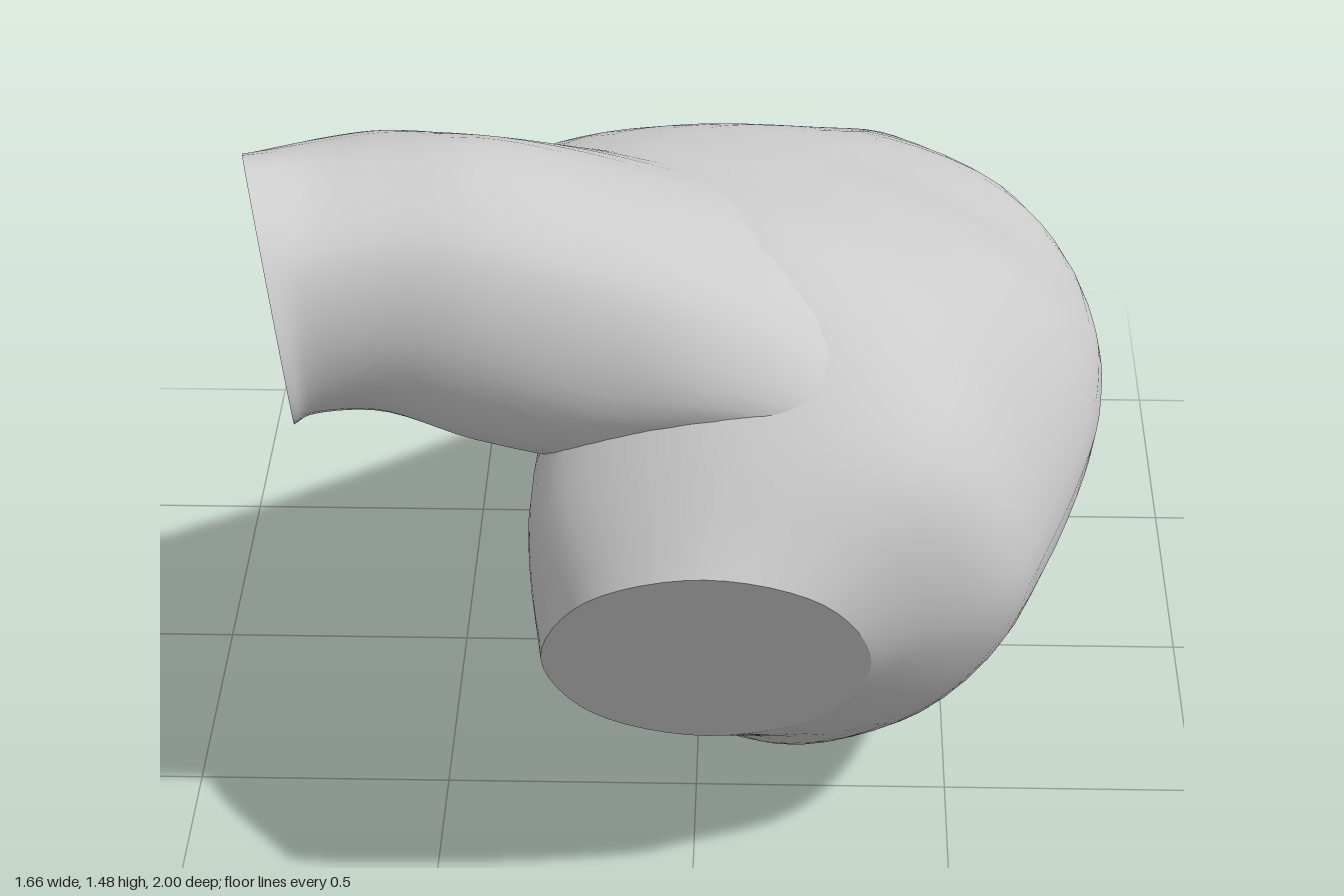
import * as THREE from 'three';

const AROUND = 48; // vertices round each ring
const ALONG = 40; // rows along each loft

// Smooth skin through closed rings of control points
function skin(rings) {
  const closed = rings.map((r) => new THREE.CatmullRomCurve3(r, true));
  const lines = [];
  for (let j = 0; j < AROUND; j++) {
    const pts = closed.map((c) => c.getPoint(j / AROUND));
    lines.push(new THREE.CatmullRomCurve3(pts).getPoints(ALONG));
  }
  const pos = [], index = [];
  for (let i = 0; i <= ALONG; i++) {
    for (let j = 0; j < AROUND; j++) pos.push(...lines[j][i].toArray());
  }
  for (let i = 0; i < ALONG; i++) {
    for (let j = 0; j < AROUND; j++) {
      const k = (j + 1) % AROUND;
      const a = i * AROUND + j, b = i * AROUND + k;
      index.push(a, a + AROUND, b, b, a + AROUND, b + AROUND);
    }
  }
  return geometry(pos, index);
}

// Flat fan closing one ring
function cap(ring, atEnd) {
  const pts = new THREE.CatmullRomCurve3(ring, true).getPoints(AROUND).slice(0, AROUND);
  const mid = pts.reduce((s, p) => s.add(p), new THREE.Vector3()).divideScalar(AROUND);
  const pos = [mid, ...pts].flatMap((p) => p.toArray());
  const index = [];
  for (let j = 0; j < AROUND; j++) {
    const a = 1 + j, b = 1 + ((j + 1) % AROUND);
    index.push(0, atEnd ? b : a, atEnd ? a : b);
  }
  return geometry(pos, index);
}

function geometry(pos, index) {
  const g = new THREE.BufferGeometry();
  g.setAttribute('position', new THREE.Float32BufferAttribute(pos, 3));
  g.setIndex(index);
  g.computeVertexNormals();
  return g;
}

// Eight points of an ellipse; f turns (cos, sin) into a point
function ellipse(start, step, f) {
  return Array.from({ length: 8 }, (_, k) => {
    const a = THREE.MathUtils.degToRad(start + step * k);
    return f(Math.cos(a), Math.sin(a));
  });
}

export function createModel() {
  const group = new THREE.Group();
  const material = new THREE.MeshStandardMaterial({ color: 0xcccccc, side: THREE.DoubleSide });
  const add = (name, geo) => {
    const mesh = new THREE.Mesh(geo, material);
    mesh.name = name;
    group.add(mesh);
  };

  // Chamber: [z, tilt, ring of x,y from the ridge clockwise], apex to front
  const chamberSections = [
    [-0.94, 0, [[0.35, 0.68], [0.4, 0.705], [0.45, 0.67], [0.475, 0.59], [0.46, 0.52], [0.41, 0.49], [0.37, 0.52], [0.35, 0.6]]],
    [-0.8, 0, [[0.28, 0.77], [0.36, 0.805], [0.5, 0.73], [0.565, 0.59], [0.545, 0.45], [0.43, 0.38], [0.34, 0.44], [0.29, 0.6]]],
    [-0.5, 0, [[0.11, 0.94], [0.25, 0.97], [0.63, 0.83], [0.775, 0.6], [0.68, 0.37], [0.42, 0.2], [0.28, 0.33], [0.18, 0.64]]],
    [-0.2, 0, [[-0.13, 1.09], [0.05, 1.13], [0.63, 0.89], [0.825, 0.61], [0.68, 0.31], [0.32, 0.06], [0.15, 0.22], [0, 0.66]]],
    [0.0, 0, [[-0.36, 1.14], [-0.05, 1.21], [0.62, 0.95], [0.815, 0.6], [0.625, 0.25], [0.26, 0.015], [0.1, 0.18], [-0.08, 0.66]]],
    [0.15, 0, [[-0.44, 1.13], [-0.1, 1.25], [0.59, 0.99], [0.79, 0.6], [0.57, 0.22], [0.23, 0], [0.06, 0.17], [-0.14, 0.67]]],
    [0.5, 0, [[-0.26, 1.05], [0.05, 1.24], [0.5, 1.05], [0.69, 0.6], [0.47, 0.22], [0.18, 0.105], [-0.02, 0.25], [-0.25, 0.66]]],
    [0.74, 0.15, [[-0.27, 0.88], [0.05, 1.03], [0.44, 0.95], [0.59, 0.6], [0.41, 0.32], [0.07, 0.265], [-0.18, 0.4], [-0.3, 0.65]]],
  ];
  const apex = ellipse(135, -45, (c, s) => new THREE.Vector3(0.415 + 0.015 * c, 0.6 + 0.035 * s, -1));
  const inlet = ellipse(135, -45, (c, s) => {
    const y = 0.577 + 0.257 * s;
    return new THREE.Vector3(0.027 + 0.308 * c, y, 1 - 0.44 * (0.834 - y));
  });
  const chamber = [
    apex,
    ...chamberSections.map(([z, tilt, pts]) =>
      pts.map(([x, y]) => new THREE.Vector3(x, y, z + tilt * (y - 0.6)))),
    inlet,
  ];
  add('chamber', skin(chamber));
  add('apexTip', cap(apex, false));
  add('inletFace', cap(inlet, true));

  // Outflow: [x, ring of z,y from the front top over to the back], thinning out inside the chamber roof
  const outflowSections = [
    [-0.7, [[0.77, 1.37], [0.58, 1.45], [0.35, 1.38], [0.22, 1.2], [0.33, 1.03], [0.56, 0.97], [0.76, 1.03], [0.82, 1.2]]],
    [-0.58, [[0.73, 1.37], [0.52, 1.445], [0.28, 1.36], [0.13, 1.17], [0.26, 1.02], [0.51, 0.96], [0.73, 1.02], [0.79, 1.19]]],
    [-0.4, [[0.71, 1.36], [0.46, 1.43], [0.19, 1.29], [0.01, 1.14], [0.2, 0.97], [0.45, 0.9], [0.72, 0.95], [0.79, 1.15]]],
    [-0.18, [[0.7, 1.3], [0.42, 1.355], [0.1, 1.23], [-0.1, 1.11], [0.1, 0.95], [0.42, 0.88], [0.7, 0.9], [0.79, 1.06]]],
    [0.05, [[0.69, 1.22], [0.42, 1.27], [0.12, 1.19], [-0.08, 1.1], [0.1, 1.02], [0.42, 0.98], [0.68, 0.95], [0.79, 1.04]]],
    [0.3, [[0.65, 1.09], [0.42, 1.145], [0.15, 1.09], [0, 1.03], [0.1, 0.98], [0.4, 0.97], [0.64, 0.95], [0.75, 0.99]]],
    [0.45, [[0.45, 0.97], [0.35, 0.99], [0.25, 0.97], [0.2, 0.94], [0.25, 0.92], [0.35, 0.91], [0.45, 0.92], [0.5, 0.94]]],
  ];
  const outlet = ellipse(45, 45, (c, s) =>
    new THREE.Vector3(-0.782 - 0.03 * s + 0.045 * c, 1.22 + 0.26 * s, 0.64 + 0.22 * c));
  const outflow = [
    outlet,
    ...outflowSections.map(([x, pts]) => pts.map(([z, y]) => new THREE.Vector3(x, y, z))),
  ];
  add('outflow', skin(outflow));
  add('outletFace', cap(outlet, false));

  return group;
}
